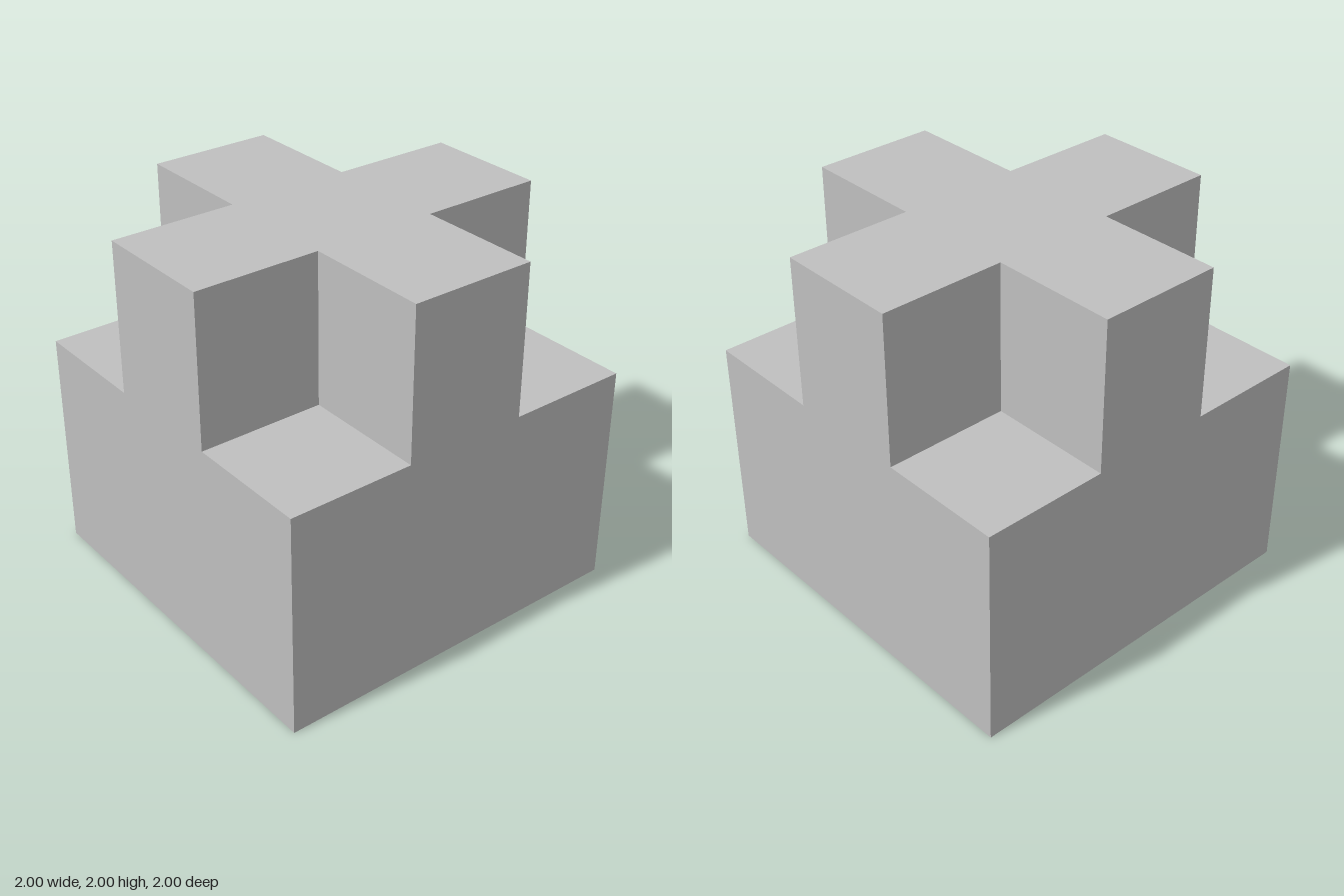
import * as THREE from 'three';

const SIZE = 2;        // overall width, depth and height
const BASE_H = 1.2;    // height of the solid block
const OUTER = SIZE / 2;
const ARM = SIZE / 6;  // half width of each cross arm

export function createModel() {
  const grey = new THREE.MeshStandardMaterial({ color: 0xbfbfbf });
  grey.name = 'light grey';

  const model = new THREE.Group();
  model.name = 'crossTopBlock';

  // Square block
  const base = new THREE.Mesh(new THREE.BoxGeometry(SIZE, BASE_H, SIZE), grey);
  base.name = 'baseBlock';
  base.position.y = BASE_H / 2;
  model.add(base);

  // Plus-shaped top: one arm's three corners, turned through four quarters
  const points = [];
  for (let i = 0; i < 4; i++) {
    for (const [x, y] of [[OUTER, -ARM], [OUTER, ARM], [ARM, ARM]]) {
      const p = new THREE.Vector2(x, y);
      for (let k = 0; k < i; k++) p.set(-p.y, p.x);
      points.push(p);
    }
  }
  const crossGeometry = new THREE.ExtrudeGeometry(new THREE.Shape(points), {
    depth: SIZE - BASE_H,
    bevelEnabled: false,
  });
  crossGeometry.rotateX(-Math.PI / 2);
  const cross = new THREE.Mesh(crossGeometry, grey);
  cross.name = 'crossTop';
  cross.position.y = BASE_H;
  model.add(cross);

  return model;
}
